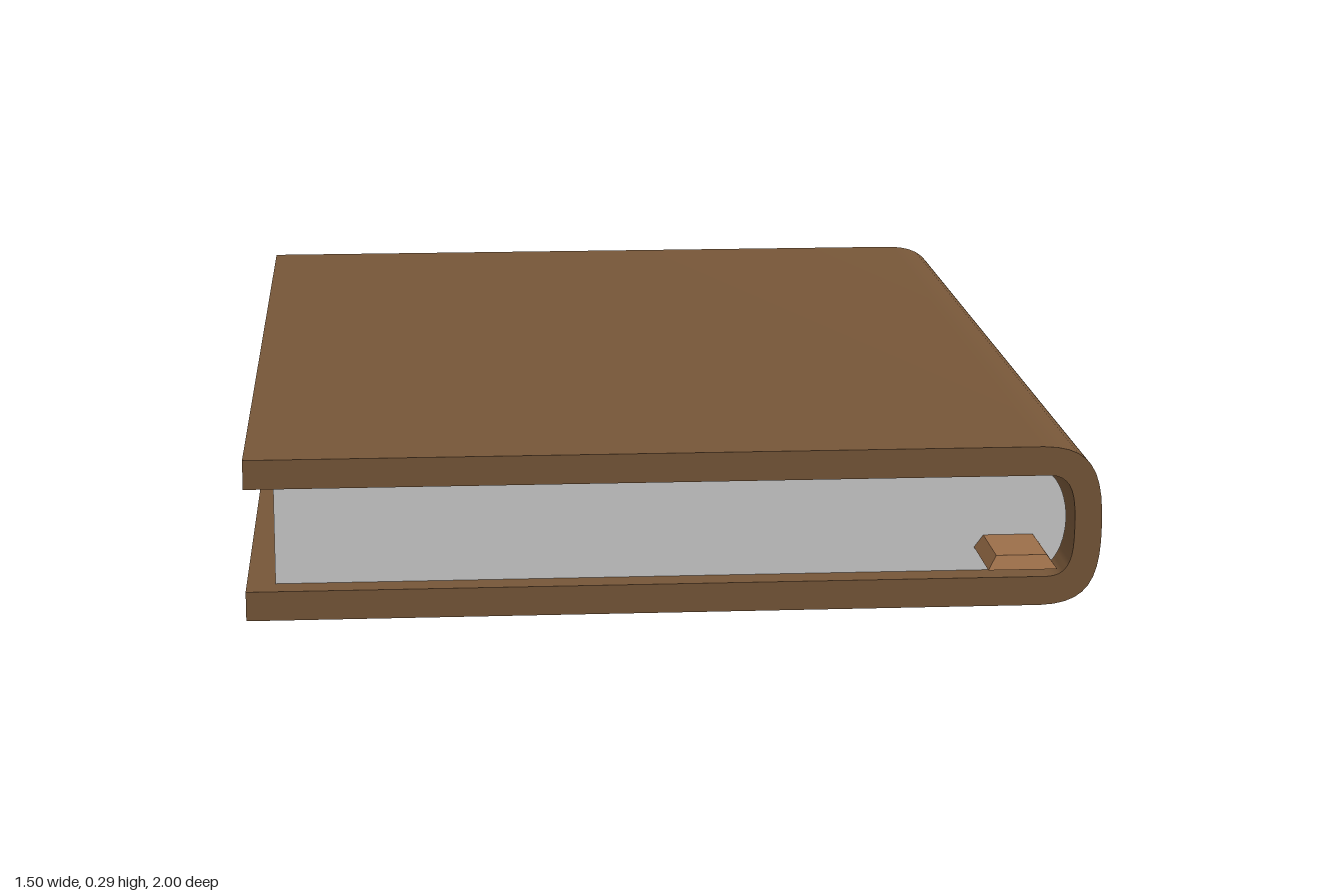
import * as THREE from 'three';
import { toCreasedNormals } from 'three/addons/utils/BufferGeometryUtils.js';

const MID = 0.1435; // mid-height of the book

// Extrudes an outline in x/y from z0 to z1, smooth along curves only
function extrude(name, shape, z0, z1, color) {
  const geo = new THREE.ExtrudeGeometry(shape, { depth: z1 - z0, bevelEnabled: false, curveSegments: 10 });
  geo.translate(0, 0, z0);
  const mesh = new THREE.Mesh(toCreasedNormals(geo, 0.6), new THREE.MeshStandardMaterial({ color }));
  mesh.name = name;
  return mesh;
}

export function createModel() {
  const book = new THREE.Group();
  book.name = 'book';

  // Cover: two boards joined by a rounded spine on the +x side
  const h = MID, i = MID - 0.052;
  const cover = new THREE.Shape();
  cover.moveTo(-0.75, MID - h);
  cover.lineTo(0.64, MID - h);
  cover.bezierCurveTo(0.725, MID - h + 0.002, 0.746, MID - 0.1, 0.746, MID);
  cover.bezierCurveTo(0.746, MID + 0.1, 0.725, MID + h - 0.002, 0.64, MID + h);
  cover.lineTo(-0.75, MID + h);
  cover.lineTo(-0.75, MID + i);
  cover.lineTo(0.65, MID + i);
  cover.bezierCurveTo(0.695, MID + i, 0.698, MID + 0.05, 0.698, MID);
  cover.bezierCurveTo(0.698, MID - 0.05, 0.695, MID - i, 0.65, MID - i);
  cover.lineTo(-0.75, MID - i);
  book.add(extrude('cover', cover, -1, 0.9, 0x765638));

  // Page block, rounded towards the spine
  const pages = new THREE.Shape();
  pages.moveTo(-0.7, MID - i);
  pages.lineTo(0.635, MID - i);
  pages.bezierCurveTo(0.675, MID - i, 0.692, MID - 0.04, 0.692, MID);
  pages.bezierCurveTo(0.692, MID + 0.04, 0.675, MID + i, 0.635, MID + i);
  pages.lineTo(-0.7, MID + i);
  book.add(extrude('pages', pages, -0.95, 0.85, 0xcccccc));

  // Bookmark ribbon: flat box with its top edges chamfered inwards
  const ribbon = new THREE.BoxGeometry(0.12, 0.022, 0.3).toNonIndexed();
  const p = ribbon.attributes.position;
  for (let k = 0; k < p.count; k++) {
    if (p.getY(k) > 0) {
      p.setX(k, p.getX(k) - Math.sign(p.getX(k)) * 0.016);
      p.setZ(k, p.getZ(k) - Math.sign(p.getZ(k)) * 0.016);
    }
  }
  ribbon.computeVertexNormals();
  const bookmark = new THREE.Mesh(ribbon, new THREE.MeshStandardMaterial({ color: 0x9b6e49 }));
  bookmark.name = 'bookmark';
  bookmark.position.set(0.589, 0.105, 0.85);
  book.add(bookmark);

  return book;
}
